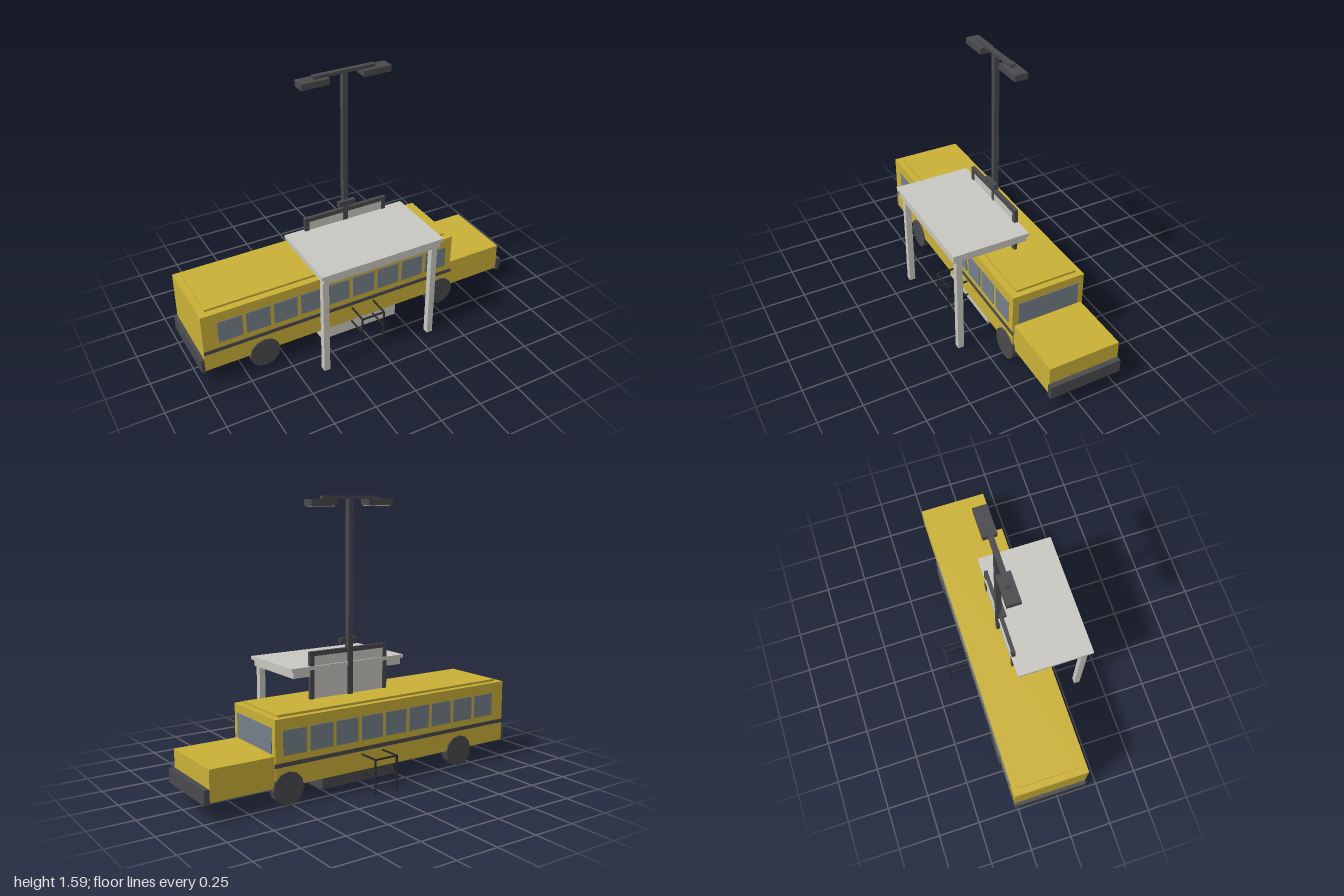
import * as THREE from 'three';

const paint = (name, color, double = false) => {
  const m = new THREE.MeshStandardMaterial({ color });
  m.name = name;
  if (double) m.side = THREE.DoubleSide;
  return m;
};

export function createModel() {
  const root = new THREE.Group();
  root.name = 'busStop';
  const yellow = paint('bus yellow', 0xcab037, true);
  const dark = paint('charcoal', 0x4a494d, true);
  const glass = paint('window grey', 0x747f88);
  const pale = paint('pale grey', 0xc9c7c0, true);
  const black = paint('rail black', 0x29292b);
  const lens = paint('lamp lens', 0xcabb90);

  const group = (name) => {
    const g = new THREE.Group();
    g.name = name;
    root.add(g);
    return g;
  };
  // Box given by its minimum and maximum on each axis; open = no bottom face
  const box = (parent, name, mat, [x0, x1], [y0, y1], [z0, z1], open = false) => {
    const geo = new THREE.BoxGeometry(x1 - x0, y1 - y0, z1 - z0);
    if (open) {
      const idx = Array.from(geo.index.array);
      idx.splice(18, 6);
      geo.setIndex(idx);
      geo.clearGroups();
    }
    const mesh = new THREE.Mesh(geo, mat);
    mesh.name = name;
    mesh.position.set((x0 + x1) / 2, (y0 + y1) / 2, (z0 + z1) / 2);
    parent.add(mesh);
    return mesh;
  };

  // Bus shell, open underneath
  const bus = group('bus');
  box(bus, 'busBody', yellow, [-0.98, 0.605], [0.11, 0.473], [-0.27, 0.17], true);
  box(bus, 'roofPanel', yellow, [-0.94, 0.57], [0.473, 0.486], [-0.237, 0.13]);
  box(bus, 'hood', yellow, [0.605, 0.97], [0.11, 0.28], [-0.262, 0.158], true);
  box(bus, 'frontBumper', dark, [0.97, 1], [0.1, 0.178], [-0.262, 0.165]);
  box(bus, 'rearBumper', dark, [-1, -0.981], [0.1, 0.188], [-0.27, 0.17]);
  box(bus, 'windshield', glass, [0.605, 0.609], [0.287, 0.425], [-0.235, 0.135]);

  // Side windows, stripes and wheels on both sides
  for (const side of [1, -1]) {
    const wall = side > 0 ? 0.17 : -0.27;
    const plate = side > 0 ? [wall, wall + 0.004] : [wall - 0.004, wall];
    for (let i = 0; i < 9; i++) {
      const x = -0.82 + i * 0.1637;
      box(bus, 'sideWindow', glass, [x - 0.071, x + 0.071], [0.278, 0.412], plate);
    }
    box(bus, 'sideStripe', dark, [-0.98, 0.61], [0.219, 0.241], plate);
    for (const x of [-0.63, 0.53]) {
      const geo = new THREE.CylinderGeometry(0.091, 0.091, 0.05, 12);
      geo.rotateX(Math.PI / 2);
      const wheel = new THREE.Mesh(geo.toNonIndexed(), dark);
      wheel.geometry.computeVertexNormals();
      wheel.name = 'wheel';
      wheel.position.set(x, 0.1, side > 0 ? 0.153 : -0.253);
      bus.add(wheel);
    }
  }

  // Canopy on two front posts
  const canopy = group('canopy');
  box(canopy, 'canopyTop', pale, [-0.38, 0.375], [0.65, 0.67], [-0.055, 0.4]);
  box(canopy, 'canopyFascia', pale, [-0.365, 0.36], [0.613, 0.65], [-0.047, 0.392]);
  for (const x of [-0.345, 0.337]) {
    box(canopy, 'canopyPost', pale, [x - 0.018, x + 0.018], [0, 0.613], [0.338, 0.374]);
  }

  // Framed notice board standing at the pole
  const board = group('board');
  box(board, 'boardPanel', pale, [-0.237, 0.231], [0.3, 0.725], [-0.046, -0.036]);
  for (const x of [-0.249, 0.243]) {
    box(board, 'boardSide', dark, [x - 0.013, x + 0.013], [0.3, 0.75], [-0.052, -0.031]);
  }
  box(board, 'boardTopRail', dark, [-0.236, 0.23], [0.725, 0.75], [-0.052, -0.031]);
  box(board, 'boardDivider', dark, [-0.006, 0], [0.3, 0.725], [-0.036, -0.033]);
  box(board, 'boardLine', dark, [-0.236, 0.23], [0.558, 0.563], [-0.036, -0.033]);

  // Lamp pole with two heads
  const lamp = group('lampPole');
  box(lamp, 'pole', dark, [-0.019, 0.011], [0.11, 1.575], [-0.064, -0.034]);
  box(lamp, 'poleBox', dark, [-0.057, 0.049], [0.772, 0.803], [-0.04, -0.017]);
  box(lamp, 'poleBracket', dark, [-0.019, 0.011], [0.75, 0.772], [-0.036, -0.026]);
  box(lamp, 'lampArm', dark, [-0.187, 0.178], [1.567, 1.585], [-0.064, -0.036]);
  for (const x of [-0.188, 0.18]) {
    box(lamp, 'lampHead', dark, [x - 0.083, x + 0.083], [1.532, 1.567], [-0.088, -0.012]);
    box(lamp, 'lampLens', lens, [x - 0.07, x + 0.07], [1.528, 1.532], [-0.078, -0.022]);
  }

  // Low cabinet beneath the bus, hollow from below
  const cabinet = group('cabinet');
  box(cabinet, 'cabinetFront', pale, [-0.25, 0.245], [0, 0.112], [0, 0.13], true);
  box(cabinet, 'cabinetBack', dark, [-0.25, 0.245], [0, 0.112], [-0.15, 0], true);
  box(cabinet, 'cabinetTray', pale, [-0.13, 0.125], [0.04, 0.05], [-0.12, -0.01]);
  box(cabinet, 'cabinetLight', lens, [-0.05, 0.045], [0.035, 0.04], [-0.09, -0.04]);

  // Hand rails at both sides
  for (const side of [1, -1]) {
    const rail = group(side > 0 ? 'frontRail' : 'backRail');
    const end = side > 0 ? 0.296 : -0.396;
    const wall = side > 0 ? 0.165 : -0.265;
    const span = [Math.min(end, wall), Math.max(end, wall)];
    for (const x of [-0.076, 0.066]) {
      box(rail, 'railPost', black, [x - 0.004, x + 0.004], [0, 0.204], [end - 0.004, end + 0.004]);
      for (const y of [0.1, 0.2]) {
        box(rail, 'railBar', black, [x - 0.004, x + 0.004], [y - 0.004, y + 0.004], span);
      }
    }
    box(rail, 'railTop', black, [-0.08, 0.07], [0.196, 0.204], [end - 0.004, end + 0.004]);
  }
  return root;
}
